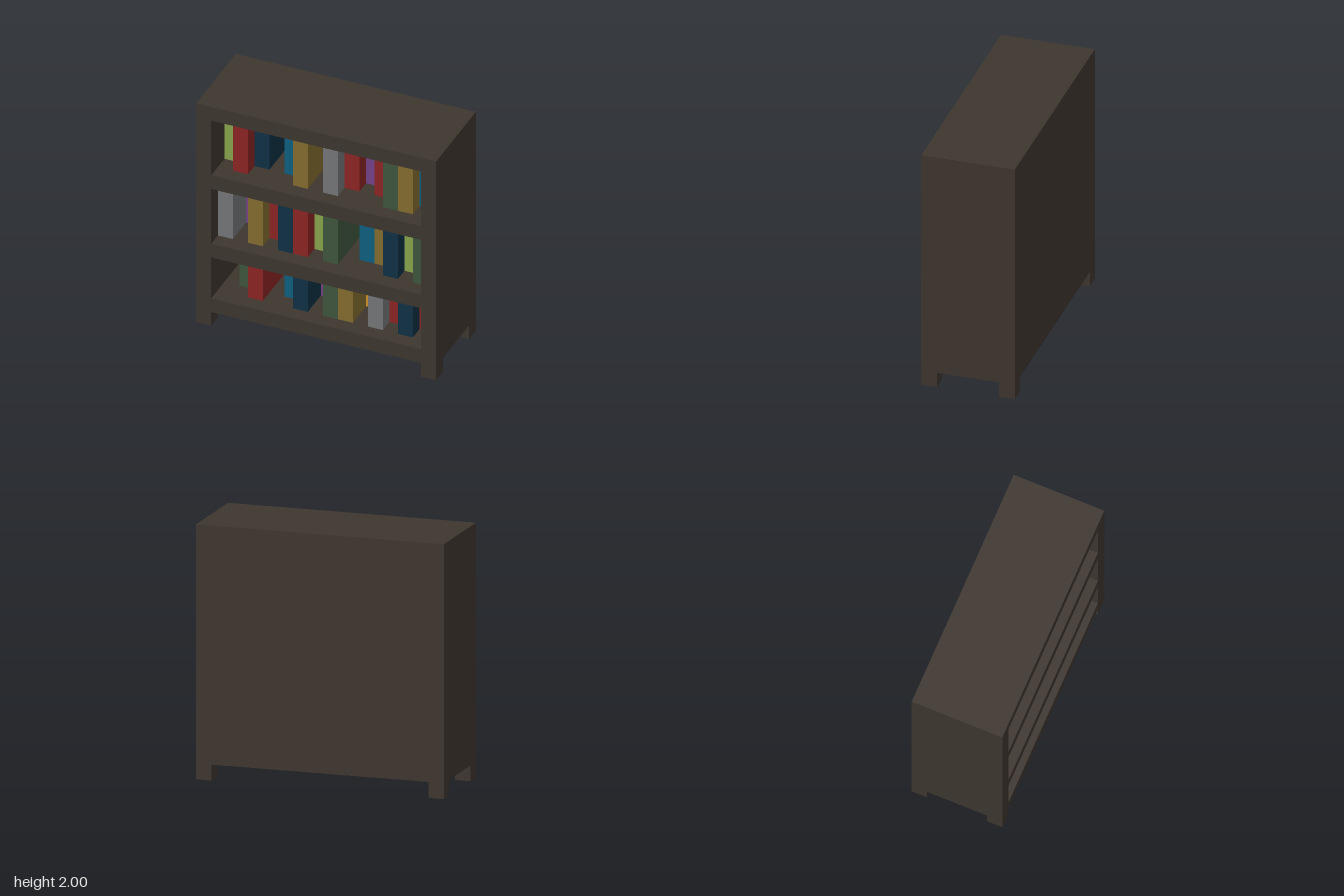
import * as THREE from 'three';

const U = 0.125; // grid unit: board thickness, book width and foot size

function material(name, color) {
  const m = new THREE.MeshStandardMaterial({ color });
  m.name = name;
  return m;
}

// Box given by its lowest and highest corners
function box(name, mat, [x0, y0, z0], [x1, y1, z1]) {
  const mesh = new THREE.Mesh(new THREE.BoxGeometry(x1 - x0, y1 - y0, z1 - z0), mat);
  mesh.name = name;
  mesh.position.set((x0 + x1) / 2, (y0 + y1) / 2, (z0 + z1) / 2);
  return mesh;
}

export function createModel() {
  const model = new THREE.Group();
  model.name = 'bookcase';

  const wood = material('dark wood', 0x3e362f);
  const covers = {
    L: material('lime', 0x88a54c),
    R: material('red', 0x8b2424),
    N: material('navy', 0x0e3045),
    B: material('blue', 0x0e5f80),
    Y: material('ochre', 0x846c2f),
    S: material('grey', 0x737677),
    P: material('purple', 0x734288),
    G: material('green', 0x3d563c),
    O: material('orange', 0xcf9425),
  };

  // Carcass: side panels, back panel and four boards
  const frame = new THREE.Group();
  frame.name = 'frame';
  frame.add(box('leftSide', wood, [0.875, U, -0.375], [1, 2, 0.375]));
  frame.add(box('rightSide', wood, [-1, U, -0.375], [-0.875, 2, 0.375]));
  frame.add(box('backPanel', wood, [-0.875, U, -0.375], [0.875, 2, -0.25]));
  const boards = { bottomBoard: 0.125, lowerShelf: 0.625, upperShelf: 1.25, topBoard: 1.875 };
  for (const [name, y] of Object.entries(boards)) {
    frame.add(box(name, wood, [-0.875, y, -0.25], [0.875, y + U, 0.375]));
  }
  model.add(frame);

  // Four cube feet
  for (const x of [-1, 0.875]) {
    for (const z of [-0.375, 0.25]) {
      const name = (z > 0 ? 'front' : 'back') + (x > 0 ? 'Left' : 'Right') + 'Foot';
      model.add(box(name, wood, [x, 0, z], [x + U, U, z + U]));
    }
  }

  // Books from -x to +x: cover, height and setback in units ('-' is a gap)
  const rows = [
    { name: 'topBooks', y: 1.375,
      books: 'L32 R41 N42 - B32 Y41 - S41 R42 P23 R32 G41 Y41 B32' },
    { name: 'middleBooks', y: 0.75,
      books: 'S41 P23 Y41 R32 N41 R41 L32 G41 - B32 Y42 N41 L32 G41' },
    { name: 'bottomBooks', y: 0.25,
      books: '- G32 R31 - B32 N31 P33 G31 Y31 O23 S31 R32 N31 R32' },
  ];
  for (const { name, y, books } of rows) {
    const row = new THREE.Group();
    row.name = name;
    books.split(' ').forEach((code, i) => {
      if (code === '-') return;
      const x = -0.875 + i * U;
      const top = y + Number(code[1]) * U;
      const front = 0.375 - Number(code[2]) * U;
      row.add(box('book', covers[code[0]], [x, y, -0.25], [x + U, top, front]));
    });
    model.add(row);
  }

  return model;
}
